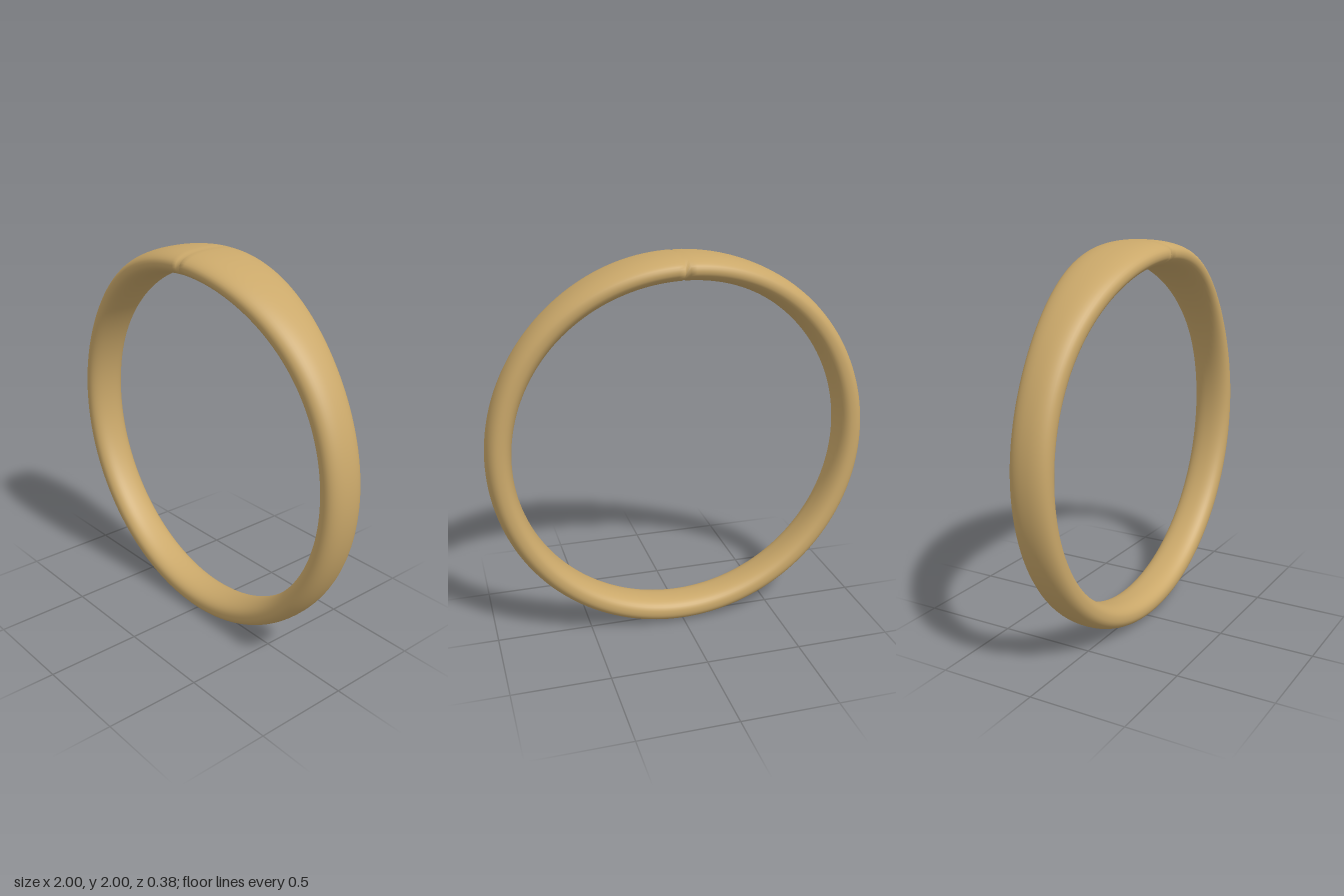
import * as THREE from 'three';

const SEGMENTS = 200; // steps around the ring
const SIDES = 40;     // points in one cross-section
const TWIST = 4;      // points by which the section slips at the seam
const MID = 0.935, HALF_THICK = 0.065;

const power = (v, e) => Math.sign(v) * Math.abs(v) ** e;

// Half width of the band: widest at the top, even around the lower half
function halfWidth(angle) {
  return 0.105 + 0.085 * Math.max(0, Math.cos(angle)) ** 3.8;
}

// Closed loft of rounded cross-sections; angle 0 is the top
function bandGeometry() {
  const positions = [], indices = [];
  for (let i = 0; i < SEGMENTS; i++) {
    const angle = (i / SEGMENTS) * Math.PI * 2;
    const w = halfWidth(angle);
    for (let j = 0; j < SIDES; j++) {
      const t = (j / SIDES) * Math.PI * 2;
      const r = MID + HALF_THICK * power(Math.sin(t), 0.87);
      const z = w * power(Math.cos(t), 0.87);
      positions.push(r * Math.sin(angle), 1 + r * Math.cos(angle), z);
    }
  }
  for (let i = 0; i < SEGMENTS; i++) {
    const next = (i + 1) % SEGMENTS;
    const slip = i === 0 ? TWIST : 0; // the slipped step makes the seam crease
    for (let j = 0; j < SIDES; j++) {
      const a = i * SIDES + j;
      const d = i * SIDES + (j + 1) % SIDES;
      const b = next * SIDES + (j + slip) % SIDES;
      const c = next * SIDES + (j + 1 + slip) % SIDES;
      indices.push(a, b, c, a, c, d);
    }
  }
  const geometry = new THREE.BufferGeometry();
  geometry.setAttribute('position', new THREE.Float32BufferAttribute(positions, 3));
  geometry.setIndex(indices);
  geometry.computeVertexNormals();
  return geometry;
}

export function createModel() {
  const group = new THREE.Group();
  group.name = 'ring';
  const band = new THREE.Mesh(bandGeometry(), new THREE.MeshStandardMaterial({ color: 0xcaa86a }));
  band.name = 'band';
  group.add(band);
  return group;
}
